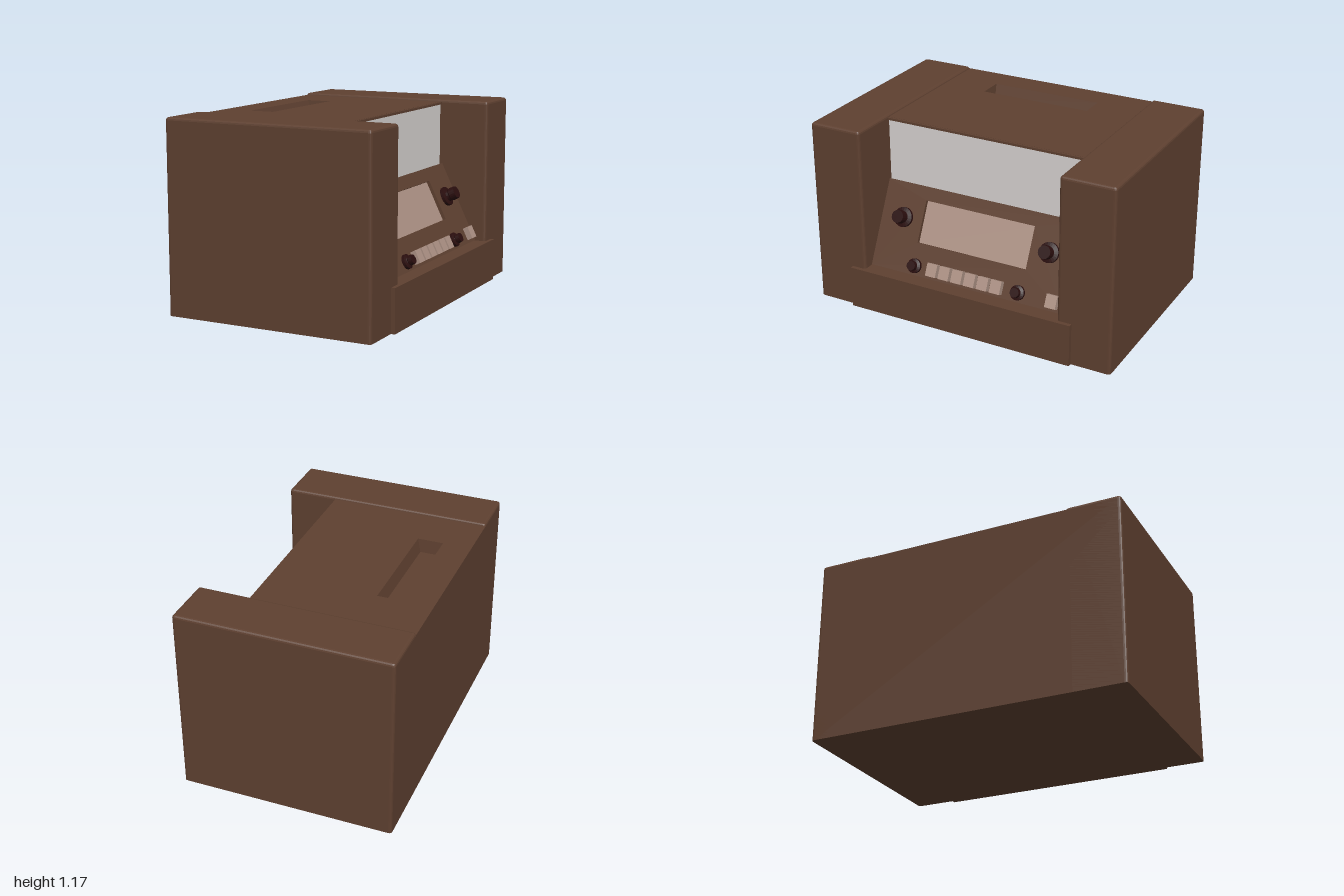
import * as THREE from 'three';

const mat = (name, color, side = THREE.FrontSide) => {
  const m = new THREE.MeshStandardMaterial({ color, side });
  m.name = name;
  return m;
};

export function createModel() {
  const root = new THREE.Group();
  root.name = 'tabletopRadio';
  const wood = mat('brown wood', 0x5e4030);
  const woodInner = mat('brown recess', 0x5e4030, THREE.DoubleSide);
  const glass = mat('pale glass', 0xd8d4d2);
  const cream = mat('beige plastic', 0xac9184);
  const dark = mat('dark maroon', 0x2a0e0e);

  const add = (parent, name, geo, material, x = 0, y = 0, z = 0) => {
    const mesh = new THREE.Mesh(geo, material);
    mesh.name = name;
    mesh.position.set(x, y, z);
    parent.add(mesh);
    return mesh;
  };
  // Box given by its lower and upper corners
  const block = (name, x0, x1, y0, y1, z0, z1, material = wood) =>
    add(root, name, new THREE.BoxGeometry(x1 - x0, y1 - y0, z1 - z0), material,
      (x0 + x1) / 2, (y0 + y1) / 2, (z0 + z1) / 2);
  const rectPath = (path, x0, x1, y0, y1) => {
    path.moveTo(x0, y0);
    path.lineTo(x1, y0);
    path.lineTo(x1, y1);
    path.lineTo(x0, y1);
    path.closePath();
    return path;
  };

  // Side blocks: rounded top edges and corners, square at the floor
  const X0 = -0.675, X1 = 0.65, B = 0.018, H = 1.175;
  for (const s of [1, -1]) {
    const plan = new THREE.Shape();
    const w = X1 - X0, d = 0.343, r = 0.02;
    plan.moveTo(r, 0);
    plan.lineTo(w - r, 0);
    plan.quadraticCurveTo(w, 0, w, r);
    plan.lineTo(w, d - r);
    plan.quadraticCurveTo(w, d, w - r, d);
    plan.lineTo(r, d);
    plan.quadraticCurveTo(0, d, 0, d - r);
    plan.lineTo(0, r);
    plan.quadraticCurveTo(0, 0, r, 0);
    const geo = new THREE.ExtrudeGeometry(plan, {
      depth: H - B, bevelThickness: B, bevelSize: B, bevelOffset: -B, bevelSegments: 3, curveSegments: 4,
    });
    geo.rotateX(-Math.PI / 2);
    const p = geo.attributes.position;
    for (let i = 0; i < p.count; i++) p.setY(i, Math.max(0, p.getY(i)));
    geo.computeVertexNormals();
    add(root, s > 0 ? 'sideBlockLeft' : 'sideBlockRight', geo, wood, X0, 0, s > 0 ? 1 : -1 + d);
  }
  block('backPanel', X0, -0.6, 0, 1.155, -0.98, 0.98);

  // Centre body, set back behind the sloping control panel
  const side = new THREE.Shape([
    [X0, 0], [0.6, 0], [0.6, 0.259], [0.557, 0.259], [0.317, 0.749], [0.317, 1.06], [X0, 1.06],
  ].map(([x, y]) => new THREE.Vector2(x, y)));
  add(root, 'centreBody', new THREE.ExtrudeGeometry(side, { depth: 1.34, bevelEnabled: false }), wood, 0, 0, -0.67);

  // Top board with an opening for the hand grip
  const grip = { x0: -0.495, x1: -0.335, z: 0.36 };
  const top = rectPath(new THREE.Shape(), X0, 0.317, -0.67, 0.67);
  top.holes.push(rectPath(new THREE.Path(), grip.x0, grip.x1, -grip.z, grip.z));
  const topGeo = new THREE.ExtrudeGeometry(top, { depth: 0.1, bevelEnabled: false });
  topGeo.rotateX(-Math.PI / 2);
  add(root, 'topBoard', topGeo, wood, 0, 1.06, 0);

  // Tapered lining of the hand grip: four walls and a floor
  const ring = (x0, x1, z, y) => [[x0, y, -z], [x0, y, z], [x1, y, z], [x1, y, -z]];
  const a = ring(grip.x0, grip.x1, grip.z, 1.16);
  const b = ring(-0.462, -0.355, 0.352, 1.075);
  const tris = [];
  const quad = (p, q, r, s) => tris.push(...p, ...q, ...r, ...p, ...r, ...s);
  for (let i = 0; i < 4; i++) {
    const j = (i + 1) % 4;
    quad(a[i], b[i], b[j], a[j]);
  }
  quad(...b);
  const liner = new THREE.BufferGeometry();
  liner.setAttribute('position', new THREE.Float32BufferAttribute(tris, 3));
  liner.computeVertexNormals();
  add(root, 'handGripRecess', liner, woodInner);

  // Upper window, lip above it, and front plinth
  block('upperWindow', 0.316, 0.322, 0.748, 1.146, -0.657, 0.657, glass);
  block('topLip', 0.3, 0.333, 1.145, 1.159, -0.66, 0.66);
  block('frontPlinth', 0.57, 0.675, 0, 0.267, -0.75, 0.75);

  // Sloping panel: local y runs up the slope, local z points outwards
  const panel = new THREE.Group();
  panel.name = 'controlPanel';
  const up = new THREE.Vector3(-0.24, 0.49, 0).normalize();
  const out = new THREE.Vector3(0.49, 0.24, 0).normalize();
  panel.quaternion.setFromRotationMatrix(new THREE.Matrix4().makeBasis(new THREE.Vector3(0, 0, -1), up, out));
  panel.position.set(0.46, 0.515, 0);
  root.add(panel);
  const slopeY = (y) => (y - 0.515) / up.y;

  const T = 0.025, half = 0.273;
  const face = rectPath(new THREE.Shape(), -0.66, 0.66, -half, half);
  face.holes.push(rectPath(new THREE.Path(), -0.372, 0.372, slopeY(0.45), slopeY(0.685)));
  add(panel, 'panelBoard', new THREE.ExtrudeGeometry(face, { depth: T, bevelEnabled: false }), wood, 0, 0, -T);
  add(panel, 'dialScreen', new THREE.BoxGeometry(0.744, 0.262, 0.004), cream, 0, slopeY(0.5675), -T + 0.002);

  // Knobs: flange, stem and slightly wider cap
  const knob = (name, z, y, r, len) => {
    const profile = [[0, 0], [r, 0], [r, 0.018], [r * 0.6, 0.024], [r * 0.56, len * 0.45],
      [r * 0.68, len * 0.55], [r * 0.64, len], [0, len]].map(([u, v]) => new THREE.Vector2(u, v));
    const geo = new THREE.LatheGeometry(profile, 20).toNonIndexed();
    geo.rotateX(Math.PI / 2);
    geo.computeVertexNormals();
    add(panel, name, geo, dark, -z, slopeY(y), 0);
  };
  for (const s of [1, -1]) {
    knob('largeKnob', s * 0.5, 0.568, 0.062, 0.085);
    knob('smallKnob', s * 0.355, 0.322, 0.045, 0.056);
  }

  // Row of push buttons and a separate one at the far end
  const buttons = [0, 1, 2, 3, 4, 5].map((i) => 0.222 - i * 0.088);
  for (const z of [...buttons, -0.585]) {
    add(panel, 'pushButton', new THREE.BoxGeometry(0.07, 0.08, 0.036), cream, -z, slopeY(0.323), 0.018);
  }
  return root;
}
